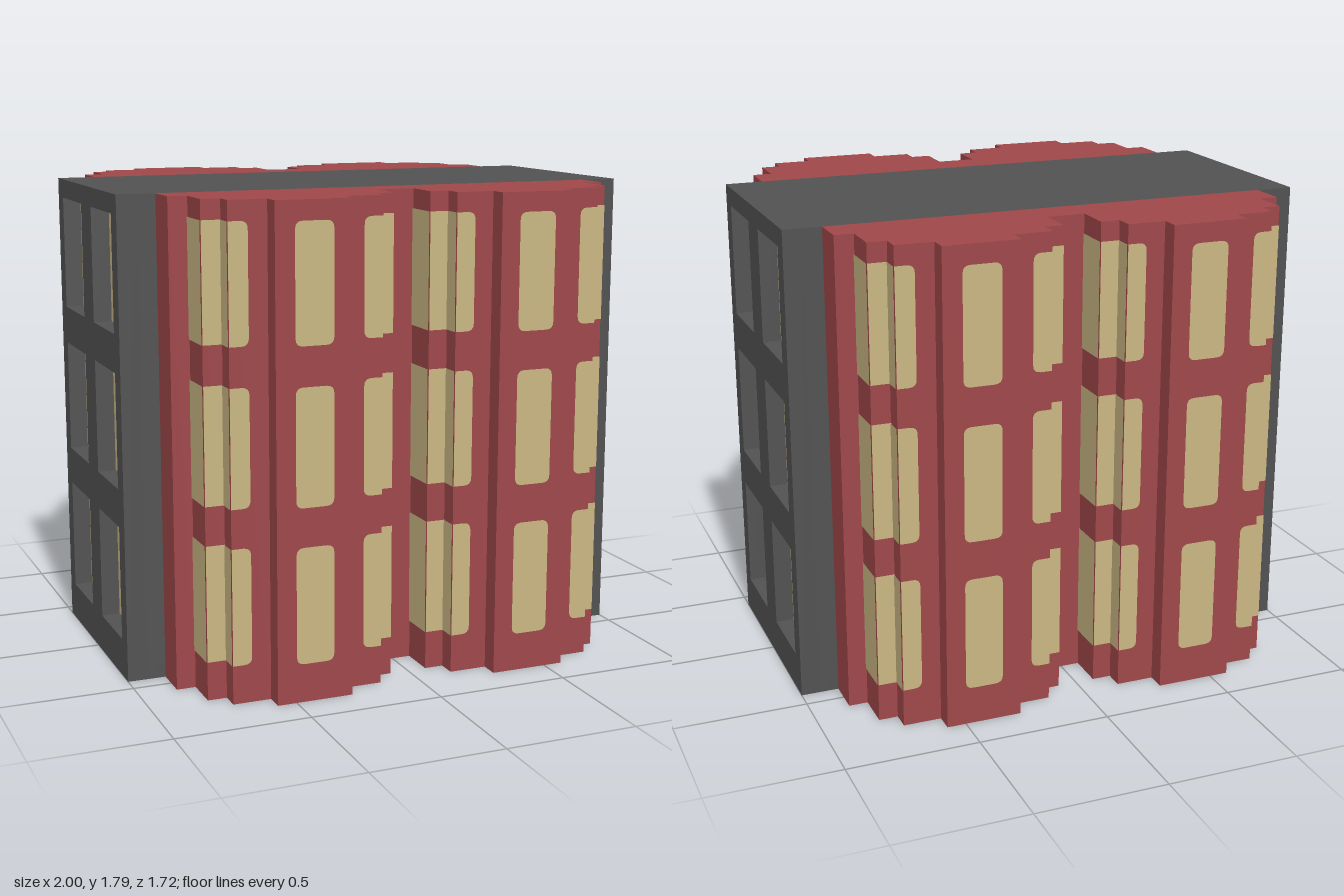
import * as THREE from 'three';

const U = 1 / 14;          // building grid unit
const H = 25 * U;          // total height
const FLOORS = [2, 10, 18]; // sill heights in units
const PANE_H = 6;

const brick = new THREE.MeshStandardMaterial({ name: 'red brick', color: 0x9f474a });
const stone = new THREE.MeshStandardMaterial({ name: 'dark grey stone', color: 0x525252 });
const glass = new THREE.MeshStandardMaterial({ name: 'cream glass', color: 0xc9b783 });

function mesh(name, geometry, material) {
  const m = new THREE.Mesh(geometry, material);
  m.name = name;
  return m;
}

// Flat pane whose left and/or right corners may be rounded
function paneGeometry(width, roundLeft, roundRight) {
  const w = (width * U) / 2, h = (PANE_H * U) / 2;
  const l = roundLeft ? 0.028 : 0, r = roundRight ? 0.028 : 0;
  const s = new THREE.Shape();
  s.moveTo(-w + l, -h);
  s.lineTo(w - r, -h);
  if (r) s.quadraticCurveTo(w, -h, w, -h + r);
  s.lineTo(w, h - r);
  if (r) s.quadraticCurveTo(w, h, w - r, h);
  s.lineTo(-w + l, h);
  if (l) s.quadraticCurveTo(-w, h, -w, h - l);
  s.lineTo(-w, -h + l);
  if (l) s.quadraticCurveTo(-w, -h, -w + l, -h);
  return new THREE.ShapeGeometry(s, 4);
}

// One pane per floor, just proud of the wall at (x, z) facing the given angle
function addPanes(group, x, z, width, angle, roundLeft = false, roundRight = false) {
  const geometry = paneGeometry(width, roundLeft, roundRight);
  for (const sill of FLOORS) {
    const p = mesh('windowPane', geometry, glass);
    p.position.set(
      x * U + Math.sin(angle) * 0.003,
      (sill + PANE_H / 2) * U,
      z * U + Math.cos(angle) * 0.003
    );
    p.rotation.y = angle;
    group.add(p);
  }
}

// Twin stepped bays with their windows, facing +z
function makeBayFront() {
  const group = new THREE.Group();
  const half = [[12, 6], [12, 8], [11, 8], [11, 10], [10, 10], [10, 11], [8, 11], [8, 12],
    [4, 12], [4, 11], [2, 11], [2, 10], [1, 10], [1, 8]];
  const outline = [...half, ...half.map(([x, z]) => [-x, z]).reverse()];
  const shape = new THREE.Shape(outline.map(([x, z]) => new THREE.Vector2(x * U, -z * U)));
  const walls = new THREE.ExtrudeGeometry(shape, { depth: H, bevelEnabled: false });
  walls.rotateX(-Math.PI / 2);
  group.add(mesh('bayWalls', walls, brick));

  const Q = Math.PI / 2;
  for (const c of [-6, 6]) {
    addPanes(group, c, 12, 2, 0, true, true);
    // corner windows wrapping the steps on both flanks
    for (const s of [-1, 1]) {
      addPanes(group, c + s * 3.5, 11, 1, 0, s > 0, s < 0);
      addPanes(group, c + s * 4.5, 10, 1, 0);
      addPanes(group, c + s * 4, 10.5, 1, s * Q);
      addPanes(group, c + s * 5, 9, 2, s * Q);
    }
  }
  return group;
}

// End wall with recessed windows, facing +x
function makeEndWall() {
  const group = new THREE.Group();
  const rect = (Type, x0, y0, x1, y1) => new Type(
    [[x0, y0], [x1, y0], [x1, y1], [x0, y1]].map(([x, y]) => new THREE.Vector2(x * U, y * U))
  );
  const shape = rect(THREE.Shape, -6, 0, 6, 25);
  for (const sill of FLOORS) {
    for (const z of [-5, 1]) shape.holes.push(rect(THREE.Path, z, sill, z + 4, sill + PANE_H));
  }
  const wall = new THREE.ExtrudeGeometry(shape, { depth: U, bevelEnabled: false });
  wall.rotateY(Math.PI / 2);
  wall.translate(13 * U, 0, 0);
  group.add(mesh('endWall', wall, stone));
  for (const z of [-3, 3]) addPanes(group, 13, z, 4, Math.PI / 2);
  return group;
}

export function createModel() {
  const model = new THREE.Group();
  model.name = 'apartmentBlock';

  // Central slab
  const core = mesh('core', new THREE.BoxGeometry(26 * U, H, 12 * U), stone);
  core.position.y = H / 2;
  model.add(core);

  // Matching halves, turned half a revolution
  ['front', 'back'].forEach((side, i) => {
    const bays = makeBayFront();
    bays.name = side + 'Bays';
    bays.rotation.y = i * Math.PI;
    model.add(bays);
  });
  ['left', 'right'].forEach((side, i) => {
    const end = makeEndWall();
    end.name = side + 'End';
    end.rotation.y = i * Math.PI;
    model.add(end);
  });
  return model;
}
